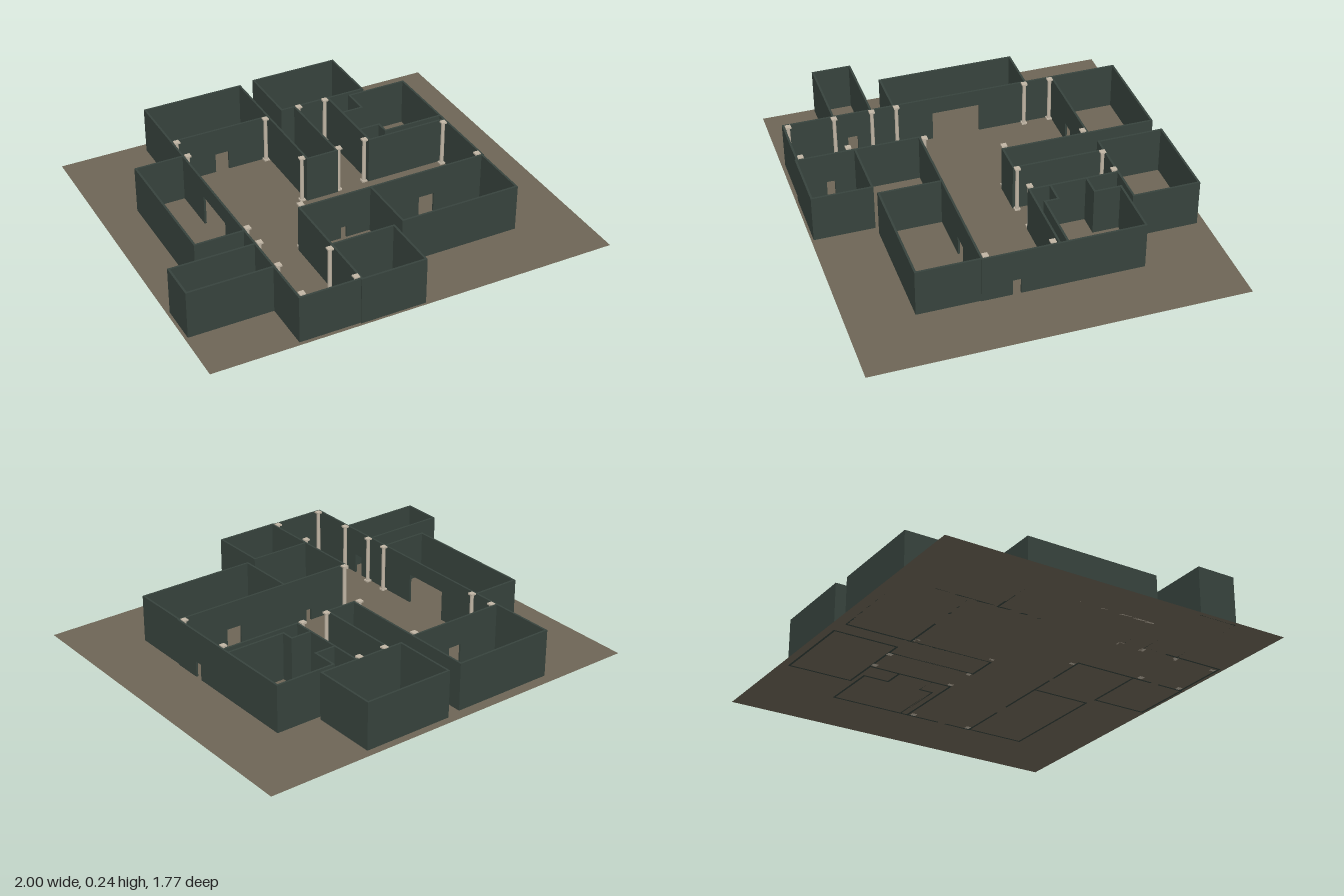
import * as THREE from 'three';

const H = 0.235; // wall height
const T = 0.01;  // wall thickness

export function createModel() {
  const model = new THREE.Group();
  model.name = 'roofless house plan';
  const mat = (name, color) => {
    const m = new THREE.MeshStandardMaterial({ color });
    m.name = name;
    return m;
  };
  const wallMat = mat('dark green wall', 0x37433d);
  const floorMat = mat('earth brown', 0x6d6556);
  floorMat.side = THREE.DoubleSide;
  const stoneMat = mat('pale stone', 0xc0b5a4);

  function box(parent, name, material, x0, x1, y0, y1, z0, z1) {
    const mesh = new THREE.Mesh(new THREE.BoxGeometry(x1 - x0, y1 - y0, z1 - z0), material);
    mesh.position.set((x0 + x1) / 2, (y0 + y1) / 2, (z0 + z1) / 2);
    mesh.name = name;
    parent.add(mesh);
  }

  // Straight wall along 'x' or 'z' at a fixed coordinate; doors are [start, end, height]
  function wall(name, axis, at, from, to, doors = []) {
    const group = new THREE.Group();
    group.name = name;
    const h = T / 2;
    const piece = (part, a, b, y0) => axis === 'x'
      ? box(group, part, wallMat, a, b, y0, H, at - h, at + h)
      : box(group, part, wallMat, at - h, at + h, y0, H, a, b);
    let start = from - h;
    for (const [a, b, top] of doors) {
      piece('wallSection', start, a, 0);
      piece('lintel', a, b, top);
      start = b;
    }
    piece('wallSection', start, to + h, 0);
    model.add(group);
  }

  // Ground
  const ground = new THREE.Mesh(new THREE.PlaneGeometry(2, 1.77), floorMat);
  ground.rotation.x = -Math.PI / 2;
  ground.name = 'ground';
  model.add(ground);

  // Main hall
  wall('hallWestWall', 'z', -0.572, -0.5, 0.862, [[-0.12, 0.12, 0.15], [0.5, 0.55, 0.1]]);
  wall('hallFrontWall', 'x', 0.862, -0.572, -0.278);
  wall('hallInnerWall', 'z', -0.278, 0.27, 0.862, [[0.69, 0.73, 0.08]]);
  wall('hallSouthWall', 'x', 0.27, -0.278, 0.682, [[-0.07, -0.04, 0.06], [0.34, 0.42, 0.1]]);
  wall('hallEastWall', 'z', 0.682, -0.494, 0.27, [[0.09, 0.13, 0.08]]);

  // Back left room and passage
  wall('backRoomBackWall', 'x', -0.826, -0.572, -0.064);
  wall('backRoomOuterWall', 'z', -0.572, -0.826, -0.51);
  wall('backRoomFrontWall', 'x', -0.5, -0.562, -0.064, [[-0.35, -0.28, 0.1]]);
  wall('passageLongWall', 'z', -0.064, -0.826, -0.075);
  wall('passageShortWall', 'z', 0.091, -0.522, -0.075);
  wall('passageEndWall', 'x', -0.075, -0.064, 0.091);

  // Back right room
  wall('rearRoomBackWall', 'x', -0.842, 0.021, 0.465);
  wall('rearRoomFrontWall', 'x', -0.522, 0.021, 0.465);
  wall('rearRoomInnerWall', 'z', 0.021, -0.842, -0.522);
  wall('rearRoomOuterWall', 'z', 0.465, -0.842, -0.522);

  // Notched east room
  wall('notchedRoomWestWall', 'z', 0.273, -0.522, -0.088);
  wall('notchedRoomOuterFrontWall', 'x', -0.088, 0.273, 0.682);
  wall('notchedRoomFrontWall', 'x', -0.126, 0.38, 0.682);
  wall('notchedRoomBackWall', 'x', -0.494, 0.38, 0.682);
  wall('notchBackSide', 'z', 0.38, -0.494, -0.366);
  wall('notchBackReturn', 'x', -0.366, 0.273, 0.38);
  wall('notchFrontReturn', 'x', -0.19, 0.273, 0.38);
  wall('notchFrontSide', 'z', 0.38, -0.19, -0.126);

  // Front right room
  wall('frontRoomInnerWall', 'z', 0.086, 0.27, 0.57);
  wall('frontRoomOuterWall', 'z', 0.678, 0.28, 0.57);
  wall('frontRoomFrontWall', 'x', 0.57, 0.086, 0.678);

  // Front middle room
  wall('cornerRoomBackWall', 'x', 0.585, -0.278, 0.032);
  wall('cornerRoomOuterWall', 'z', 0.032, 0.585, 0.868);
  wall('cornerRoomFrontWall', 'x', 0.868, -0.278, 0.032);

  // Two rooms on the west side
  for (const [name, x, z0, z1] of [['alcove', -0.81, -0.36, 0.318], ['sideRoom', -0.98, 0.43, 0.617]]) {
    wall(name + 'BackWall', 'x', z0, x, -0.572);
    wall(name + 'FrontWall', 'x', z1, x, -0.572);
    wall(name + 'OuterWall', 'z', x, z0, z1);
  }
  box(model, 'alcoveStep', stoneMat, -0.803, -0.78, 0, 0.02, -0.35, 0.31);

  // Columns with square base and capital
  const shaft = new THREE.CylinderGeometry(0.009, 0.01, H - 0.01, 12);
  const plate = new THREE.BoxGeometry(0.027, 0.008, 0.027);
  const spots = [
    [-0.552, -0.483], [-0.087, -0.483], [0.107, -0.51], [0.25, -0.51], [-0.552, -0.35],
    [-0.087, -0.088], [0.107, -0.088], [0.25, -0.098], [0.663, -0.062], [0.663, 0.25],
    [-0.262, 0.25], [-0.552, 0.307], [-0.552, 0.43], [-0.552, 0.617], [-0.301, 0.612],
    [-0.552, 0.842], [-0.295, 0.842],
  ];
  for (const [x, z] of spots) {
    const column = new THREE.Group();
    column.name = 'column';
    column.position.set(x, 0, z);
    for (const [name, geo, y] of [['shaft', shaft, H / 2], ['base', plate, 0.004], ['capital', plate, H]]) {
      const mesh = new THREE.Mesh(geo, stoneMat);
      mesh.name = name;
      mesh.position.y = y;
      column.add(mesh);
    }
    model.add(column);
  }
  return model;
}
